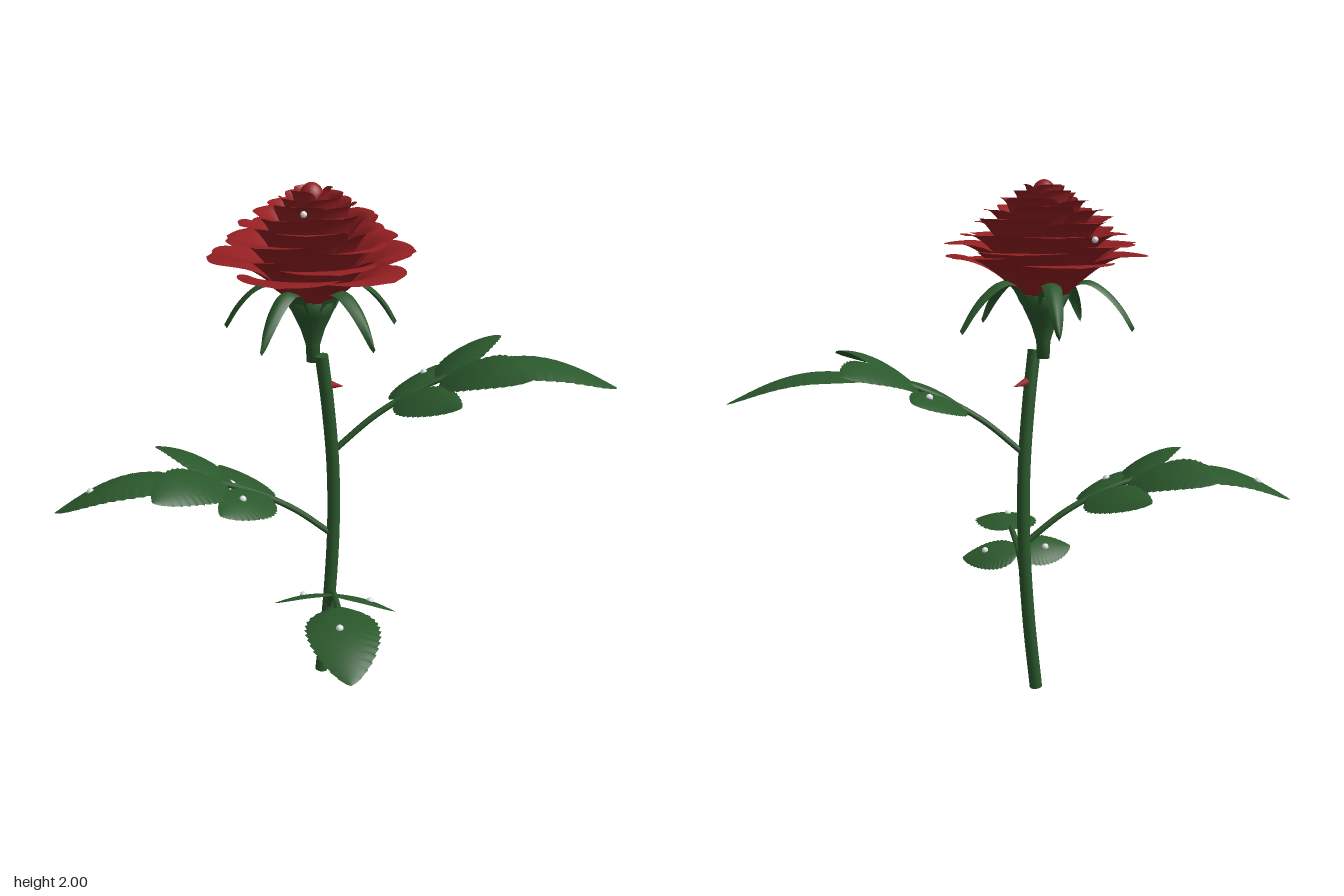
import * as THREE from 'three';

const V = (x, y, z) => new THREE.Vector3(x, y, z);
const V2 = (x, y) => new THREE.Vector2(x, y);
const material = (name, color) => {
  const m = new THREE.MeshStandardMaterial({ color, side: THREE.DoubleSide });
  m.name = name;
  return m;
};

// Smooth sheet from point(u, t), with u in -1..1 across and t in 0..1 along
function sheet(nu, nt, point) {
  const pos = [], index = [];
  for (let j = 0; j <= nt; j++) {
    for (let i = 0; i <= nu; i++) {
      pos.push(...point((i / nu) * 2 - 1, j / nt).toArray());
      if (i < nu && j < nt) {
        const a = j * (nu + 1) + i, b = a + nu + 1;
        index.push(a, a + 1, b, a + 1, b + 1, b);
      }
    }
  }
  const g = new THREE.BufferGeometry();
  g.setAttribute('position', new THREE.Float32BufferAttribute(pos, 3));
  g.setIndex(index);
  g.computeVertexNormals();
  return g;
}

export function createModel() {
  const model = new THREE.Group();
  model.name = 'rose';
  const green = material('leaf green', 0x2b582c);
  const red = material('petal red', 0x931f22);
  const thornRed = material('thorn red', 0xa52229);
  const dew = material('dew white', 0xdde2e6);

  const add = (name, geometry, mat, parent = model) => {
    const m = new THREE.Mesh(geometry, mat);
    m.name = name;
    parent.add(m);
    return m;
  };
  const group = (name) => {
    const g = new THREE.Group();
    g.name = name;
    model.add(g);
    return g;
  };
  const drop = (p, r = 0.014) =>
    add('dewDrop', new THREE.SphereGeometry(r, 12, 8), dew).position.copy(p);

  // Main stem with end caps
  const stemPath = new THREE.CatmullRomCurve3([
    V(-0.062, 0.005, -0.062), V(-0.03, 0.3, -0.052), V(-0.01, 0.62, -0.045),
    V(-0.015, 0.9, -0.04), V(-0.043, 1.16, -0.036), V(-0.075, 1.365, -0.034)]);
  add('stem', new THREE.TubeGeometry(stemPath, 40, 0.025, 14), green);
  for (const t of [0, 1]) {
    const cap = add('stemEnd', new THREE.CircleGeometry(0.025, 14), green);
    cap.position.copy(stemPath.getPoint(t));
    cap.lookAt(cap.position.clone().addScaledVector(stemPath.getTangent(t), t ? 1 : -1));
  }

  // Thorn
  const thorn = add('thorn', new THREE.ConeGeometry(0.02, 0.07, 10), thornRed);
  thorn.position.set(-0.014, 1.237, -0.024);
  thorn.quaternion.setFromUnitVectors(V(0, 1, 0), V(1, -0.25, 0.25).normalize());

  // Serrated leaflet, arched along its length; slope tilts the blade up along the stalk
  function leaflet(parent, out, slope, [base, tip, width, arch, dropAt]) {
    const dir = tip.clone().sub(base);
    const side = V(-dir.z, 0, dir.x).normalize();
    side.y = slope * side.dot(out);
    side.normalize();
    const point = (u, t) => {
      const outline = 2.3 * Math.pow(t, 0.5) * Math.pow(1 - t, 0.78);
      const saw = 1.03 - 0.09 * ((t * 14) % 1) * u * u;
      return base.clone().addScaledVector(dir, t)
        .addScaledVector(side, u * outline * saw * width / 2)
        .add(V(0, arch * Math.sin(Math.PI * t) - 0.1 * width * u * u * outline, 0));
    };
    add('leaflet', sheet(8, 70, point), green, parent);
    if (dropAt) drop(point(0.1, dropAt));
  }

  // Each branch: stalk points, then leaflets as [base, tip, width, arch, dew position]
  const branches = [
    {
      name: 'rightBranch',
      stalk: [V(-0.015, 0.97, -0.035), V(0.13, 1.115, 0.06), V(0.32, 1.235, 0.18), V(0.47, 1.285, 0.285)],
      leaves: [
        [V(0.455, 1.285, 0.275), V(0.885, 1.19, 0.61), 0.29, 0.06],
        [V(0.34, 1.25, 0.2), V(0.72, 1.33, 0.12), 0.24, 0.045],
        [V(0.34, 1.25, 0.2), V(0.38, 1.33, 0.61), 0.24, 0.045],
        [V(0.2, 1.175, 0.1), V(0.5, 1.22, 0.0), 0.2, 0.02, 0.6],
        [V(0.2, 1.175, 0.1), V(0.19, 1.22, 0.44), 0.2, 0.02],
      ],
    },
    {
      name: 'leftBranch',
      stalk: [V(-0.015, 0.61, -0.045), V(-0.15, 0.735, -0.14), V(-0.33, 0.835, -0.26), V(-0.5, 0.87, -0.375)],
      leaves: [
        [V(-0.485, 0.875, -0.365), V(-0.89, 0.745, -0.675), 0.29, 0.06, 0.72],
        [V(-0.36, 0.85, -0.285), V(-0.74, 0.9, -0.2), 0.24, 0.045],
        [V(-0.36, 0.85, -0.285), V(-0.41, 0.9, -0.68), 0.24, 0.045],
        [V(-0.22, 0.79, -0.19), V(-0.52, 0.82, -0.09), 0.2, 0.02, 0.5],
        [V(-0.22, 0.79, -0.19), V(-0.22, 0.82, -0.51), 0.2, 0.02],
      ],
    },
    {
      name: 'lowerBranch',
      stalk: [V(-0.035, 0.3, -0.045), V(-0.11, 0.42, 0.06), V(-0.2, 0.495, 0.18), V(-0.315, 0.535, 0.34)],
      leaves: [
        [V(-0.3, 0.535, 0.32), V(-0.545, 0.465, 0.67), 0.27, 0.05, 0.45],
        [V(-0.19, 0.49, 0.17), V(-0.06, 0.45, 0.37), 0.18, 0.015, 0.6],
        [V(-0.19, 0.49, 0.17), V(-0.41, 0.49, 0.08), 0.18, 0.015, 0.5],
      ],
    },
  ];
  for (const { name, stalk, leaves } of branches) {
    const g = group(name);
    add('stalk', new THREE.TubeGeometry(new THREE.CatmullRomCurve3(stalk), 24, 0.012, 8), green, g);
    const out = stalk[3].clone().sub(stalk[0]).setY(0).normalize();
    for (const l of leaves) leaflet(g, out, 0.55, l);
  }

  // Flower centre line
  const cx = -0.083, cz = -0.074;
  const polar = (r, y, a) => V(cx + r * Math.cos(a), y, cz + r * Math.sin(a));

  // Calyx and five drooping sepals
  const cup = [[0, 1.335], [0.024, 1.335], [0.027, 1.4], [0.045, 1.46], [0.073, 1.52],
    [0.1, 1.575], [0.06, 1.59]].map(([r, y]) => V2(r, y));
  add('calyx', new THREE.LatheGeometry(cup, 24), green).position.set(cx, 0, cz);
  const sepalPath = new THREE.CatmullRomCurve3([
    V(0.085, 1.55, 0), V(0.13, 1.622, 0), V(0.175, 1.632, 0), V(0.24, 1.595, 0),
    V(0.3, 1.53, 0), V(0.345, 1.455, 0)]);
  const sepals = group('sepals');
  for (let i = 0; i < 5; i++) {
    const a = Math.PI / 2 + i * Math.PI * 0.4;
    add('sepal', sheet(4, 20, (u, t) => {
      const p = sepalPath.getPoint(t);
      const w = 0.043 * Math.pow(1 - t, 0.7) * (0.8 + t);
      return polar(p.x - 0.01 * u * u, p.y - 0.014 * u * u, a)
        .add(V(-Math.sin(a) * u * w, 0, Math.cos(a) * u * w));
    }), green, sepals);
  }

  // Petal rings from the outside in: count, rim radius, rim height, turn
  const rings = [
    [5, 0.385, 1.705, 0.15], [5, 0.37, 1.755, 0.8], [5, 0.325, 1.805, 0.3], [5, 0.275, 1.855, 1.0],
    [5, 0.225, 1.895, 0.5], [4, 0.17, 1.93, 1.2], [4, 0.12, 1.955, 0.2], [3, 0.078, 1.98, 0.9]];
  const petals = group('petals');
  rings.forEach(([n, ringRadius, ringHeight, turn], k) => {
    for (let i = 0; i < n; i++) {
      // Slight natural variation between neighbouring petals
      const vary = Math.sin(i * 2.4 + k * 1.7);
      const R = ringRadius * (1 + 0.03 * vary), H = ringHeight + 0.04 * ringRadius * Math.cos(i * 2.1 + k);
      const a = turn + ((i + 0.06 * vary) / n) * Math.PI * 2;
      const profile = new THREE.CubicBezierCurve(
        V2(0.04, 1.54), V2(0.3 * R + 0.01, 1.6), V2(0.62 * R, H + 0.11 * R), V2(R, H));
      add('petal', sheet(20, 18, (u, t) => {
        // Rounded rim with a small point in the middle
        const v = t * (0.98 - 0.3 * Math.pow(Math.abs(u), 3.2) + 0.02 * Math.exp(-120 * u * u) * t);
        const p = profile.getPoint(v);
        return polar(p.x * (1 + 0.05 * u), p.y, a + u * (Math.PI / n) * 1.3);
      }), red, petals);
    }
  });
  const bud = add('bud', new THREE.SphereGeometry(0.046, 20, 14), red, petals);
  bud.position.set(cx, 1.945, cz);
  bud.scale.y = 1.2;

  // Dew on the petals
  drop(V(-0.05, 1.79, -0.36), 0.012);
  drop(V(-0.23, 1.92, 0.06), 0.012);
  return model;
}
